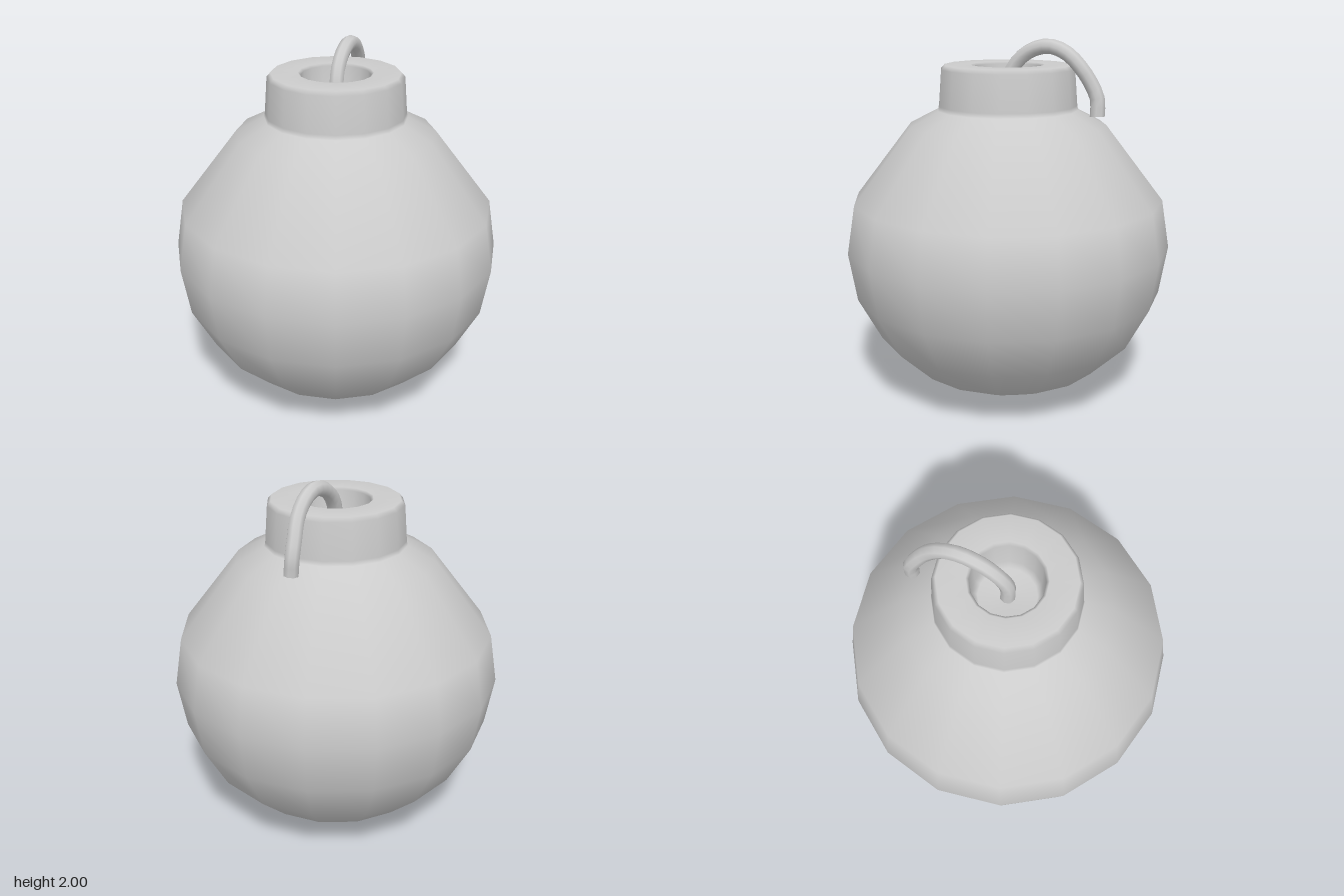
import * as THREE from 'three';

const material = new THREE.MeshStandardMaterial({ color: 0xcccccc });

// Round body, neck and filling hole turned as one smooth profile
function createShell() {
  const radius = 0.9, height = 0.86, steps = 10;
  const profile = [];
  for (let i = 0; i <= 7; i++) {
    const a = (i / steps) * Math.PI;
    profile.push(new THREE.Vector2(radius * Math.sin(a), height * (1 - Math.cos(a))));
  }
  profile[7].set(0.54, 1.535);
  const neck = [
    [0.385, 1.615], [0.38, 1.64], [0.365, 1.835], [0.345, 1.857], // shoulder and outer wall
    [0.2, 1.857], [0.185, 1.845],                                 // rim
    [0.18, 1.68], [0.15, 1.66], [0, 1.65],                        // hole
  ];
  neck.forEach(([x, y]) => profile.push(new THREE.Vector2(x, y)));
  const shell = new THREE.Mesh(new THREE.LatheGeometry(profile, 16), material);
  shell.name = 'bodyAndNeck';
  return shell;
}

// Fuse rising from the hole and drooping over the rim towards the back left
function createFuse() {
  const fuse = new THREE.Group();
  fuse.name = 'fuse';
  const r = 0.04, sides = 8;
  const path = new THREE.CatmullRomCurve3([
    [0, 1.64, 0], [0.002, 1.77, 0], [0.025, 1.86, -0.035], [0.08, 1.932, -0.1],
    [0.155, 1.96, -0.185], [0.22, 1.925, -0.26], [0.265, 1.855, -0.32],
    [0.29, 1.77, -0.372], [0.308, 1.69, -0.402], [0.315, 1.6, -0.4],
  ].map((p) => new THREE.Vector3(...p)));
  const cord = new THREE.Mesh(new THREE.TubeGeometry(path, 20, r, sides, false), material);
  cord.name = 'fuseCord';
  fuse.add(cord);

  // Flat cut at the free end
  const tip = new THREE.Mesh(new THREE.CircleGeometry(r, sides), material);
  tip.name = 'fuseTip';
  const end = path.getPointAt(1);
  tip.position.copy(end);
  tip.lookAt(end.clone().add(path.getTangentAt(1)));
  fuse.add(tip);
  return fuse;
}

export function createModel() {
  const model = new THREE.Group();
  model.name = 'roundBomb';
  model.add(createShell(), createFuse());
  return model;
}
